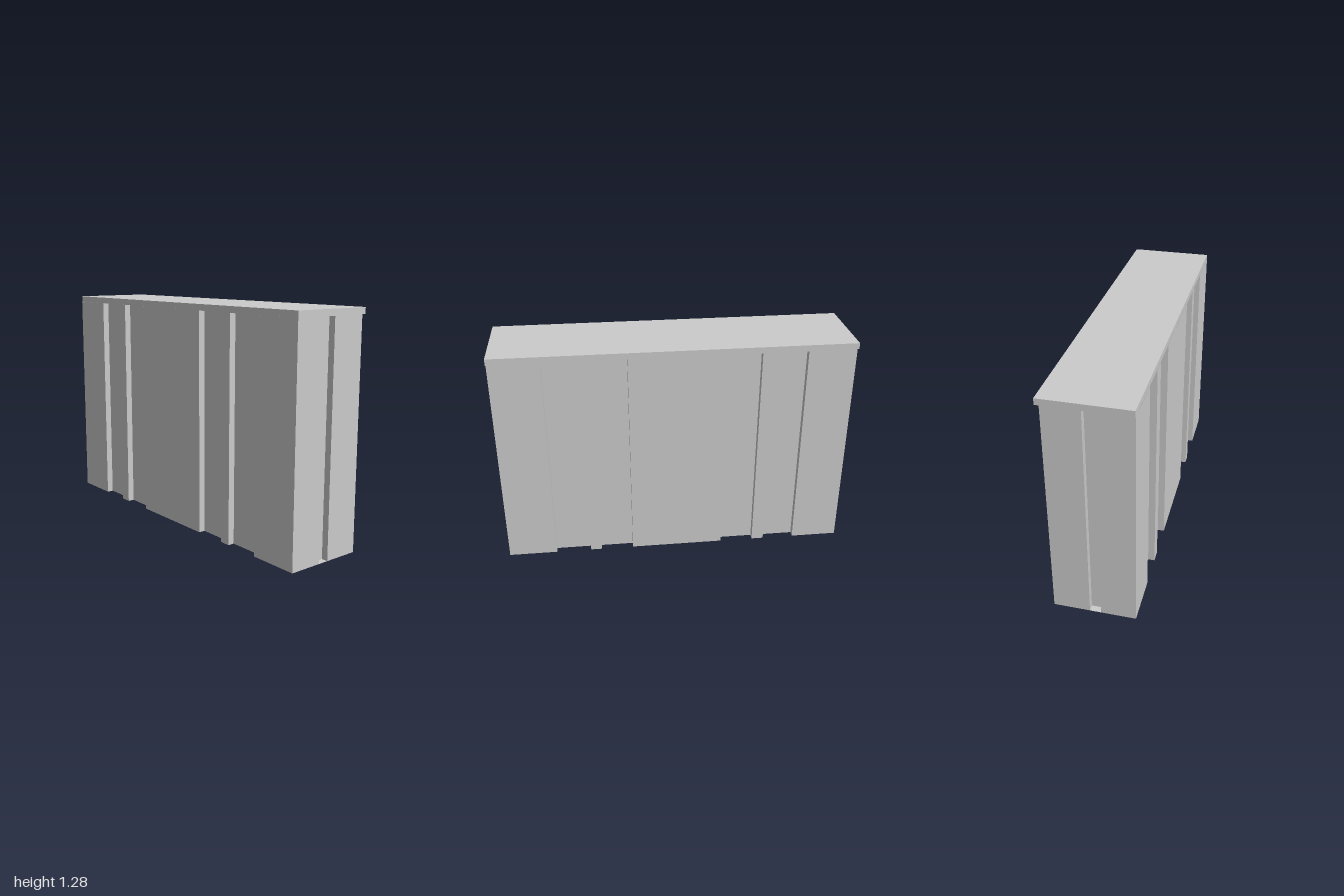
import * as THREE from 'three';

const WALL_TOP = 1.25, TOP = 1.285, DEPTH = 0.037;
const LEFT = 0.213, RIGHT = -0.238;          // outer wall planes
const GROOVE = [-0.047, 0.014];              // groove in both end walls
// z ranges where the long walls stand proud
const RAISED = [[1, 0.72], [0.515, 0.45], [0.26, -0.28], [-0.475, -0.545], [-0.73, -1]];

// Stepped outline of a long wall, from front to back
function sideOutline(outer, inner) {
  const pts = [];
  for (const [a, b] of RAISED) {
    if (a < 1) pts.push([inner, a]);
    pts.push([outer, a], [outer, b]);
    if (b > -1) pts.push([inner, b]);
  }
  return pts;
}

// Grooved outline of an end wall, without its corners
function endOutline(s) {
  const [a, b] = GROOVE, d = s * (1 - DEPTH);
  const pts = [[a, s], [a, d], [b, d], [b, s]];
  return s > 0 ? pts : pts.reverse();
}

// Closed ring of upright flat panels
function ringWall(outline) {
  const pos = [];
  outline.forEach(([x, z], i) => {
    const [u, w] = outline[(i + 1) % outline.length];
    pos.push(x, 0, z, u, 0, w, u, WALL_TOP, w);
    pos.push(x, 0, z, u, WALL_TOP, w, x, WALL_TOP, z);
  });
  const g = new THREE.BufferGeometry();
  g.setAttribute('position', new THREE.Float32BufferAttribute(pos, 3));
  g.computeVertexNormals();
  return g;
}

export function createModel() {
  const group = new THREE.Group();
  const mat = new THREE.MeshStandardMaterial({ color: 0xcccccc, side: THREE.DoubleSide, flatShading: true });
  const add = (name, geo, x = 0, y = 0, z = 0) => {
    const m = new THREE.Mesh(geo, mat);
    m.name = name;
    m.position.set(x, y, z);
    group.add(m);
  };

  // Thin outer walls, open underneath
  add('walls', ringWall([
    ...endOutline(1),
    ...sideOutline(LEFT, LEFT - DEPTH),
    ...endOutline(-1),
    ...sideOutline(RIGHT, RIGHT + DEPTH).reverse(),
  ]));

  // Flat roof slab, overhanging on the left
  add('roof', new THREE.BoxGeometry(0.473, TOP - WALL_TOP, 2), 0, (TOP + WALL_TOP) / 2, 0);

  // Narrow footings below the raised strips and the end grooves
  const footing = (name, x0, x1, z0, z1) => add(name,
    new THREE.PlaneGeometry(Math.abs(x1 - x0), Math.abs(z1 - z0)).rotateX(Math.PI / 2),
    (x0 + x1) / 2, 0, (z0 + z1) / 2);
  for (const [a, b] of RAISED) {
    footing('leftFooting', LEFT - DEPTH, LEFT, a, b);
    footing('rightFooting', RIGHT, RIGHT + DEPTH, a, b);
  }
  for (const s of [1, -1]) footing(s > 0 ? 'frontGrooveFooting' : 'backGrooveFooting', ...GROOVE, s, s * (1 - DEPTH));

  return group;
}
